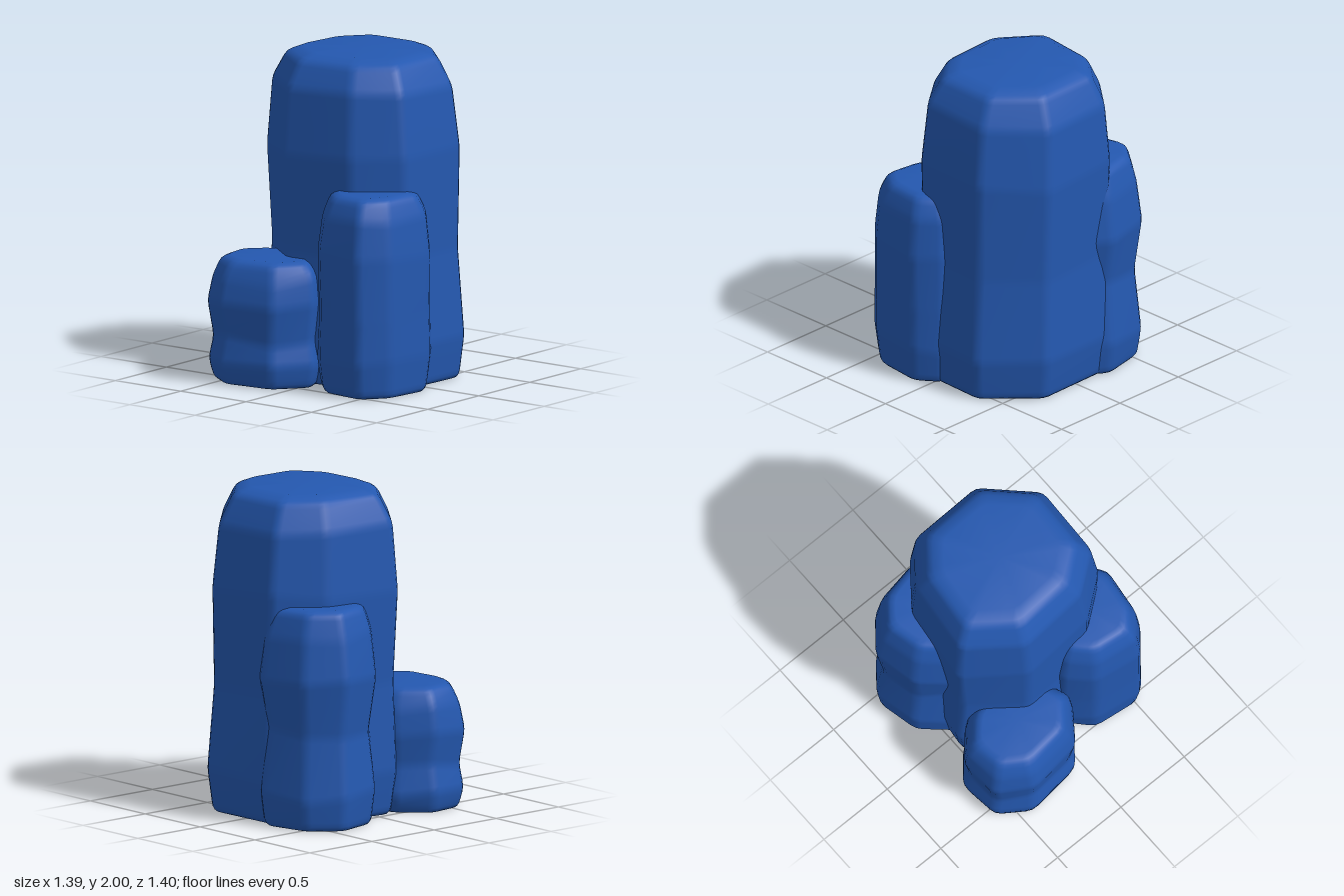
import * as THREE from 'three';

const lerp = (a, b, t) => a.clone().lerp(b, t);

// Replaces a corner by three points so that it becomes a small soft bevel
function soften(prev, p, next, size) {
  const a = lerp(p, prev, Math.min(0.4, size / p.distanceTo(prev)));
  const b = lerp(p, next, Math.min(0.4, size / p.distanceTo(next)));
  return [a, lerp(lerp(a, b, 0.5), p, 0.5), b];
}

function seeded(seed) {
  return () => {
    seed = (seed * 16807) % 2147483647;
    return seed / 2147483647 - 0.5;
  };
}

// outline: widest cross-section; waist: [y, inset] pairs; lean: sideways drift with height
function rockGeometry({ outline, height, shoulder, lean, waist, seed, rough }) {
  const rand = seeded(seed);
  const box = new THREE.Box2().setFromPoints(outline.map(([x, z]) => new THREE.Vector2(x, z)));
  const mid = box.getCenter(new THREE.Vector2());
  const size = box.getSize(new THREE.Vector2());
  const crown = waist[waist.length - 1][1];
  const rings = [
    [0, 0.05], [0.02, 0.03], ...waist,
    [height - shoulder / 2, crown + shoulder],
    [height, crown + shoulder * 2.2],
  ];

  // Shrink the outline into every ring, with slightly uneven corners on the sides
  const cage = rings.map(([y, inset], i) => outline.map(([x, z]) => {
    const uneven = i > 1 && i < rings.length - 2 ? rough : 0;
    return new THREE.Vector3(
      mid.x + (x - mid.x) * (1 - 2 * inset / size.x) + lean * y + rand() * uneven * 0.4,
      y + rand() * uneven * 2.5,
      mid.y + (z - mid.y) * (1 - 2 * inset / size.y) + rand() * uneven * 0.4);
  }));

  // Soften the edges between rings, then the upright edges
  const layers = cage.flatMap((ring, i) => {
    if (i === 0 || i === cage.length - 1) return [ring];
    const columns = ring.map((p, j) => soften(cage[i - 1][j], p, cage[i + 1][j], 0.035));
    return [0, 1, 2].map(k => columns.map(c => c[k]));
  });
  const grid = layers.map(ring => ring.flatMap((p, j) =>
    soften(ring.at(j - 1), p, ring[(j + 1) % ring.length], 0.04)));

  // Skin the sides and close both ends
  const n = grid[0].length, m = grid.length, points = grid.flat(), index = [];
  for (let i = 0; i < m - 1; i++) {
    for (let j = 0; j < n; j++) {
      const a = i * n + j, b = i * n + (j + 1) % n;
      index.push(a, a + n, b, b, a + n, b + n);
    }
  }
  const centre = ring => ring.reduce((s, p) => s.add(p), new THREE.Vector3()).divideScalar(n);
  const bottom = points.push(centre(grid[0])) - 1;
  const top = points.push(centre(grid[m - 1])) - 1;
  for (let j = 0; j < n; j++) {
    const k = (j + 1) % n, r = (m - 1) * n;
    index.push(bottom, j, k, top, r + k, r + j);
  }
  const geometry = new THREE.BufferGeometry().setFromPoints(points);
  geometry.setIndex(index);
  geometry.computeVertexNormals();
  return geometry;
}

const mainRock = {
  height: 2, shoulder: 0.08, lean: -0.02, seed: 11, rough: 0.02,
  outline: [[0.3, -0.68], [0.61, -0.37], [0.59, 0.15], [0.32, 0.36],
    [-0.18, 0.39], [-0.52, 0.12], [-0.46, -0.4], [-0.24, -0.67]],
  waist: [[0.25, 0], [0.8, 0.025], [1.4, 0.01], [1.8, 0.045]],
};

const frontRightRock = {
  height: 1.22, shoulder: 0.045, lean: 0, seed: 23, rough: 0.03,
  outline: [[0.25, -0.1], [0.58, -0.08], [0.7, 0.08], [0.66, 0.42],
    [0.52, 0.58], [0.2, 0.54], [0.05, 0.38], [0.09, 0.1]],
  waist: [[0.2, 0.01], [0.47, 0.015], [0.86, 0.01], [1.08, 0.035]],
};

const frontLeftRock = {
  height: 0.765, shoulder: 0.045, lean: 0, seed: 37, rough: 0.03,
  outline: [[-0.5, 0.12], [-0.2, 0.05], [0, 0.2], [0.1, 0.45],
    [-0.07, 0.67], [-0.44, 0.71], [-0.64, 0.57], [-0.67, 0.31]],
  waist: [[0.13, 0], [0.27, 0.035], [0.5, 0.005], [0.65, 0.03]],
};

const backLeftRock = {
  height: 1.345, shoulder: 0.045, lean: 0, seed: 53, rough: 0.03,
  outline: [[-0.55, -0.65], [-0.23, -0.715], [0, -0.55], [0, -0.2],
    [-0.15, 0], [-0.45, 0.02], [-0.65, -0.16], [-0.715, -0.45]],
  waist: [[0.2, 0.005], [0.58, 0.05], [0.9, 0], [1.17, 0.035]],
};

export function createModel() {
  const blueStone = new THREE.MeshStandardMaterial({ color: 0x2458b0 });
  blueStone.name = 'blueStone';
  const group = new THREE.Group();
  group.name = 'rockCluster';
  const rocks = { mainRock, frontRightRock, frontLeftRock, backLeftRock };
  for (const [name, rock] of Object.entries(rocks)) {
    const mesh = new THREE.Mesh(rockGeometry(rock), blueStone);
    mesh.name = name;
    group.add(mesh);
  }
  return group;
}
